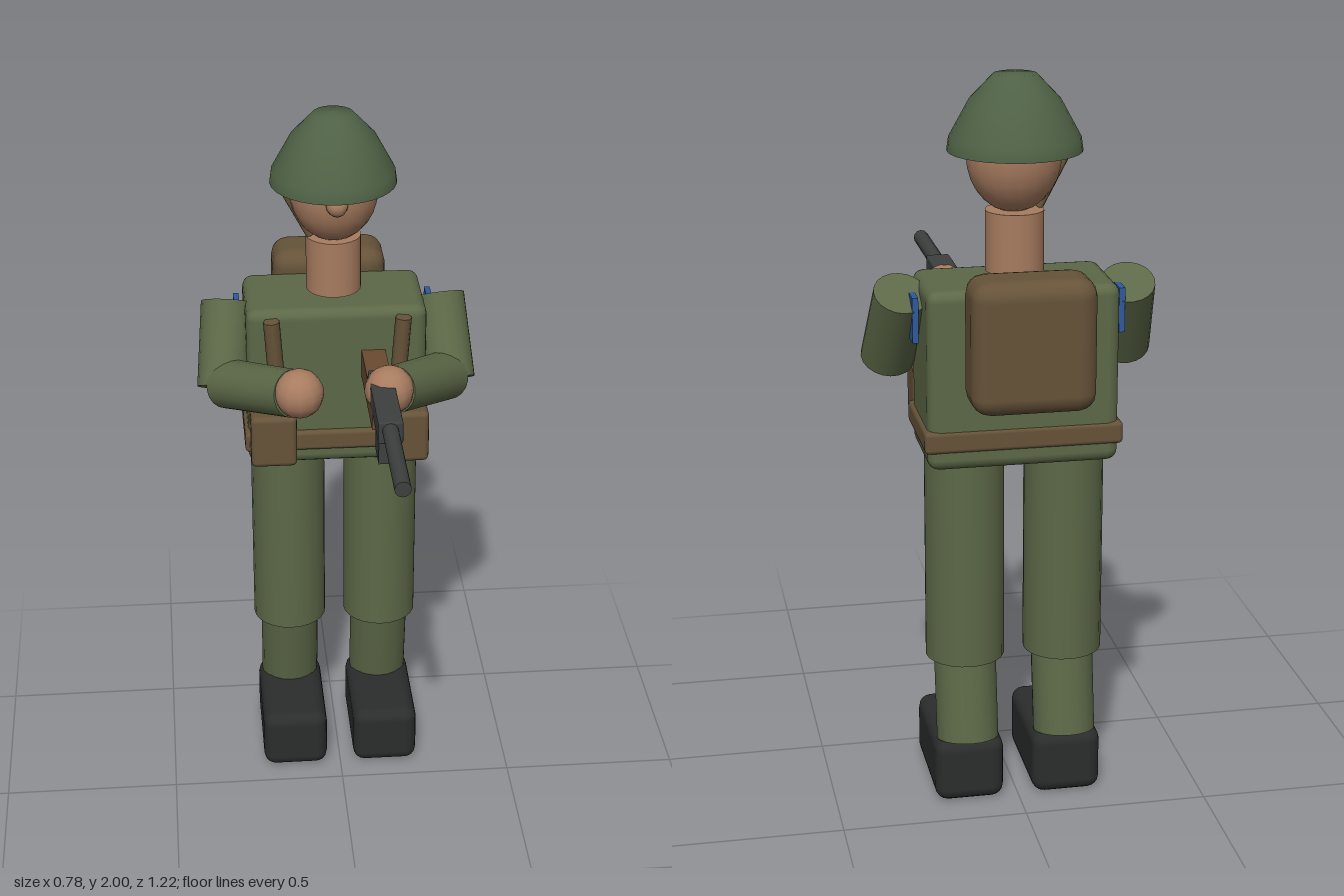
import * as THREE from 'three';
import { RoundedBoxGeometry } from 'three/addons/geometries/RoundedBoxGeometry.js';

const material = (color, side = THREE.FrontSide) => new THREE.MeshStandardMaterial({ color, side });
const cloth = material(0x5c6847);
const helmetGreen = material(0x4f6145, THREE.DoubleSide);
const skin = material(0xa87c60);
const webbing = material(0x665339);
const wood = material(0x6b4b32);
const metal = material(0x3c403f);
const leather = material(0x2b2d2d);
const blue = material(0x2f5a9c);

export function createModel() {
  const model = new THREE.Group();
  model.name = 'soldier';

  const add = (name, geometry, mat, x = 0, y = 0, z = 0) => {
    const mesh = new THREE.Mesh(geometry, mat);
    mesh.name = name;
    mesh.position.set(x, y, z);
    model.add(mesh);
    return mesh;
  };

  // Box given by its low and high corners, with optional rounded edges
  const box = (name, mat, [x0, y0, z0], [x1, y1, z1], radius = 0) => {
    const size = [x1 - x0, y1 - y0, z1 - z0];
    const geometry = radius
      ? new RoundedBoxGeometry(...size, 2, radius)
      : new THREE.BoxGeometry(...size);
    return add(name, geometry, mat, (x0 + x1) / 2, (y0 + y1) / 2, (z0 + z1) / 2);
  };

  // Cylinder running from point a to point b
  const limb = (name, mat, a, b, ra, rb = ra, sides = 20) => {
    const from = new THREE.Vector3(...a), to = new THREE.Vector3(...b);
    const axis = to.clone().sub(from);
    const mesh = add(name, new THREE.CylinderGeometry(rb, ra, axis.length(), sides), mat);
    mesh.position.copy(from).add(to).multiplyScalar(0.5);
    mesh.quaternion.setFromUnitVectors(new THREE.Vector3(0, 1, 0), axis.normalize());
    return mesh;
  };

  // Head, nose and neck
  add('head', new THREE.SphereGeometry(0.125, 20, 14), skin, 0, 1.79, -0.297).scale.set(1, 1.23, 0.93);
  add('nose', new THREE.SphereGeometry(0.03, 10, 8), skin, 0, 1.78, -0.178);
  limb('neck', skin, [0, 1.485, -0.308], [0, 1.645, -0.308], 0.077);

  // Helmet shell, open below
  const shell = [[0.175, 1.8], [0.17, 1.835], [0.118, 1.93], [0.056, 1.995], [0, 2]];
  add('helmet', new THREE.LatheGeometry(shell.map(p => new THREE.Vector2(...p)), 32), helmetGreen, 0, 0, -0.31);
  limb('chinStrap', webbing, [-0.148, 1.8, -0.3], [-0.066, 1.645, -0.3], 0.01, 0.01, 8);

  // Torso, belt and backpack
  box('torso', cloth, [-0.252, 0.99, -0.455], [0.252, 1.47, -0.18], 0.03);
  box('belt', webbing, [-0.262, 1.04, -0.46], [0.262, 1.1, -0.165], 0.012);
  box('backpack', webbing, [-0.162, 1.175, -0.61], [0.162, 1.525, -0.44], 0.05);

  for (const s of [-1, 1]) {
    const side = s > 0 ? 'left' : 'right';

    // Legs and boots
    limb(side + 'Thigh', cloth, [s * 0.135, 0.415, -0.31], [s * 0.135, 0.99, -0.31], 0.107, 0.107, 24);
    limb(side + 'Shin', cloth, [s * 0.135, 0.18, -0.35], [s * 0.135, 0.415, -0.31], 0.085);
    const bootX = [s * 0.135 - 0.095, s * 0.135 + 0.095];
    box(side + 'Boot', leather, [bootX[0], 0.005, -0.405], [bootX[1], 0.185, -0.06], 0.035);

    // Arms bent forward to the hands
    limb(side + 'UpperArm', cloth, [s * 0.32, 1.235, -0.2], [s * 0.3, 1.44, -0.325], 0.072);
    limb(side + 'Forearm', cloth, [s * 0.31, 1.25, -0.195], [s * 0.137, 1.33, 0.035], 0.07, 0.066);
    add(side + 'Hand', new THREE.SphereGeometry(0.068, 12, 10), skin, s * 0.122, 1.34, 0.055);

    // Shoulder patch, pouch and chest strap
    const patchX = s * 0.272;
    box(side + 'Patch', blue, [patchX - 0.008, 1.32, -0.38], [patchX + 0.008, 1.44, -0.295]);
    const pouchX = s * 0.185;
    box(side + 'Pouch', webbing, [pouchX - 0.064, 1.045, -0.18], [pouchX + 0.064, 1.2, -0.065], 0.015);
    limb(side + 'ChestStrap', webbing, [s * 0.165, 1.19, -0.165], [s * 0.183, 1.45, -0.165], 0.023, 0.023, 8);
  }

  // Rifle pointing forward
  box('rifleStock', wood, [0.068, 1.265, -0.19], [0.135, 1.345, 0.14]);
  box('rifleReceiver', metal, [0.068, 1.31, 0], [0.134, 1.375, 0.305], 0.006);
  box('rifleMagazine', metal, [0.077, 1.21, 0.14], [0.127, 1.32, 0.23]);
  limb('rifleBarrel', metal, [0.1, 1.35, 0.29], [0.1, 1.35, 0.61], 0.022, 0.022, 12);

  return model;
}
